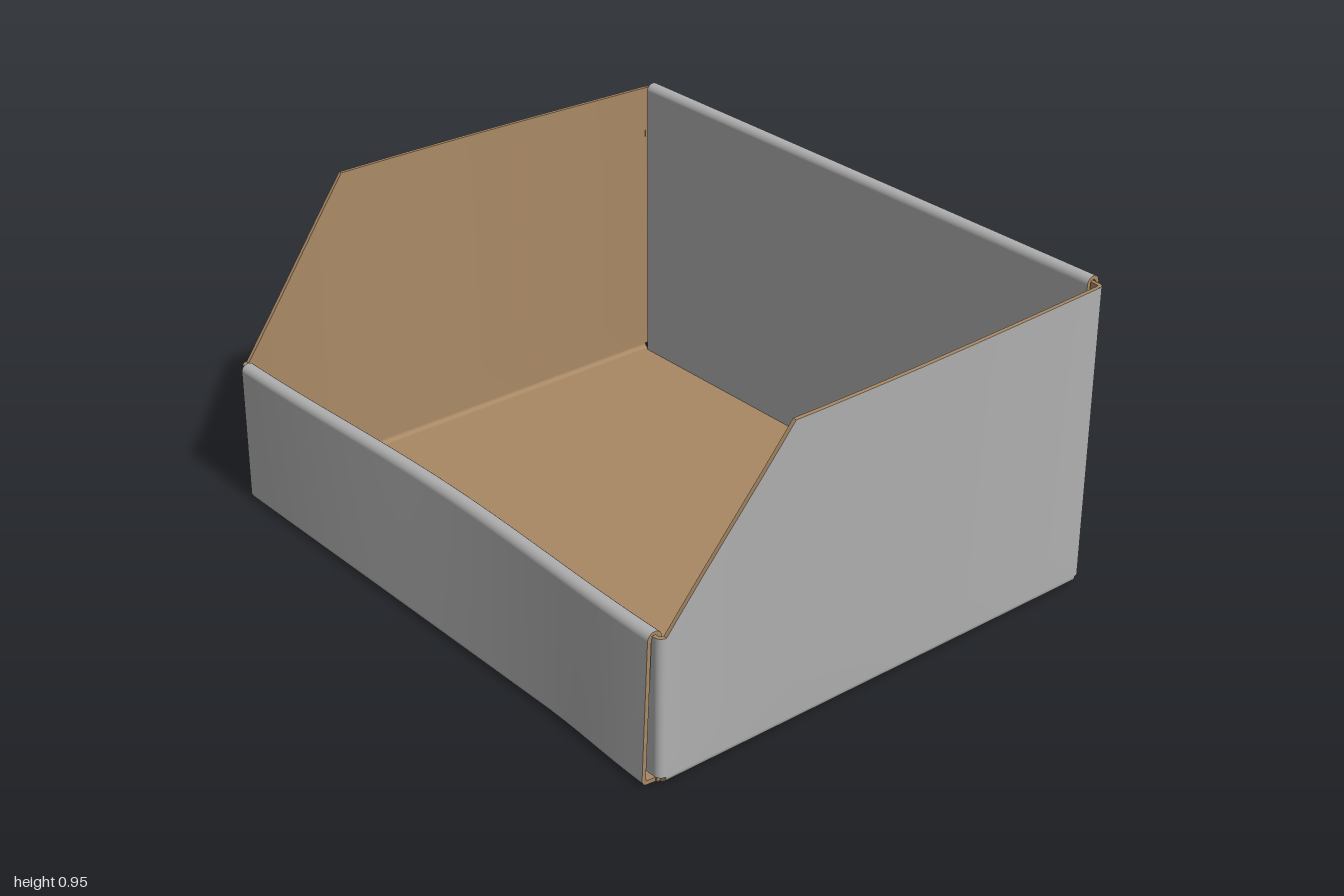
import * as THREE from 'three';

const grey = new THREE.MeshStandardMaterial({ color: 0xb0b0b0 });
grey.name = 'grey coated card';
const brown = new THREE.MeshStandardMaterial({ color: 0xa88864 });
brown.name = 'brown raw card';

const T = 0.012; // card thickness

// Sheet of card over a grid f(i, j) -> [x, y, z]: grey outer skin, brown inner skin and cut edges
function sheet(name, nu, nv, f, flip = false) {
  const outer = [], skin = [];
  for (let j = 0; j <= nv; j++)
    for (let i = 0; i <= nu; i++) outer.push(...f(flip ? nu - i : i, j));
  const id = (i, j) => j * (nu + 1) + i;
  for (let j = 0; j < nv; j++)
    for (let i = 0; i < nu; i++) {
      const a = id(i, j), b = id(i + 1, j), c = id(i + 1, j + 1), d = id(i, j + 1);
      skin.push(a, b, c, a, c, d);
    }
  const base = new THREE.BufferGeometry();
  base.setAttribute('position', new THREE.Float32BufferAttribute(outer, 3));
  base.setIndex(skin);
  base.computeVertexNormals();
  const n = base.attributes.normal.array;
  const inner = outer.map((v, k) => v - n[k] * T);

  const pos = [...outer, ...inner];
  const count = outer.length / 3;
  const index = [...skin];
  for (let k = 0; k < skin.length; k += 3)
    index.push(skin[k] + count, skin[k + 2] + count, skin[k + 1] + count);

  // cut edges around the perimeter
  const loop = [];
  for (let i = 0; i < nu; i++) loop.push(id(i, 0));
  for (let j = 0; j < nv; j++) loop.push(id(nu, j));
  for (let i = nu; i > 0; i--) loop.push(id(i, nv));
  for (let j = nv; j > 0; j--) loop.push(id(0, j));
  loop.forEach((p, k) => {
    const q = loop[(k + 1) % loop.length], s = pos.length / 3;
    const at = (arr, m) => arr.slice(m * 3, m * 3 + 3);
    pos.push(...at(outer, p), ...at(inner, p), ...at(inner, q), ...at(outer, q));
    index.push(s, s + 1, s + 2, s, s + 2, s + 3);
  });

  const geo = new THREE.BufferGeometry();
  geo.setAttribute('position', new THREE.Float32BufferAttribute(pos, 3));
  geo.setIndex(index);
  geo.computeVertexNormals();
  geo.addGroup(0, skin.length, 0);
  geo.addGroup(skin.length, index.length - skin.length, 1);
  const mesh = new THREE.Mesh(geo, [grey, brown]);
  mesh.name = name;
  return mesh;
}

// Polyline with its right-angled corners rounded to radius r
function rounded(pts, r) {
  const out = [pts[0]];
  for (let k = 1; k < pts.length - 1; k++) {
    const p = new THREE.Vector2(...pts[k]);
    const a = new THREE.Vector2(...pts[k - 1]).sub(p).setLength(r);
    const b = new THREE.Vector2(...pts[k + 1]).sub(p).setLength(r);
    for (let s = 0; s <= 6; s++) {
      const t = (s / 6) * Math.PI / 2;
      const q = p.clone().addScaledVector(a, 1 - Math.sin(t)).addScaledVector(b, 1 - Math.cos(t));
      out.push([q.x, q.y]);
    }
  }
  out.push(pts[pts.length - 1]);
  return out;
}

// Side wall: height along z, and outward bow at the top
const Z0 = -0.765, ZK = 0.365, Z1 = 0.745;
const sideHeight = z => (z <= ZK ? 0.93 : 0.93 - 0.49 * (z - ZK) / (Z1 - ZK));
const sideBow = z => 0.035 * (z < 0.32
  ? Math.sin(Math.PI / 2 * (z - Z0) / (0.32 - Z0))
  : Math.cos(Math.PI / 2 * (z - 0.32) / (Z1 - 0.32)));

function sideWall(s) {
  const arc = rounded([[0.939, 0], [0.965, 0], [0.965, 0.05]], 0.025).slice(0, -1);
  const last = arc.length - 1, rise = 8, before = 18, after = 8;
  return sheet(s > 0 ? 'leftWall' : 'rightWall', before + after, last + rise, (i, j) => {
    const z = i <= before
      ? Z0 + (ZK - Z0) * i / before
      : ZK + (Z1 - ZK) * (i - before) / after;
    let [x, y] = arc[Math.min(j, last)];
    if (j > last) y += (sideHeight(z) - y) * (j - last) / rise;
    return [s * (x + sideBow(z) * y / 0.93), y, z];
  }, s > 0);
}

// Corner flap folded from a side wall into the front or back wall
function cornerFlap(s, end) {
  const front = end > 0;
  const path = front
    ? rounded([[0.965, Z1], [0.965, 0.767], [0.85, 0.767]], 0.021)
    : rounded([[0.965, Z0], [0.965, -0.787], [0.7, -0.787]], 0.021);
  const name = (front ? 'front' : 'back') + (s > 0 ? 'Left' : 'Right') + 'Flap';
  const top = front ? 0.44 : 0.93;
  return sheet(name, path.length - 1, 1, (i, j) =>
    [s * path[i][0], j ? top : 0.025, path[i][1]], s * end > 0);
}

export function createModel() {
  const box = new THREE.Group();
  box.name = 'openFrontBox';

  box.add(sheet('floor', 1, 1, (i, j) => [i ? 0.94 : -0.94, 0, j ? 0.755 : -0.775]));

  // back wall, folded over double
  const back = rounded([[-0.775, 0], [-0.8, 0], [-0.8, 0.95], [-0.755, 0.95], [-0.755, T]], 0.022);
  box.add(sheet('backWall', 1, back.length - 1, (i, j) =>
    [i ? 0.93 : -0.93, back[j][1], back[j][0]], true));

  // low front wall, folded over double, sagging inward at the middle of its rim
  const front = rounded([[0.755, 0], [0.78, 0], [0.78, 0.45], [0.735, 0.45], [0.735, T]], 0.022);
  const N = 32;
  box.add(sheet('frontWall', N, front.length - 1, (i, j) => {
    const x = -0.935 + 1.87 * i / N;
    const [z, y] = front[j];
    const sag = 0.028 * Math.cos(Math.PI * x / 1.87) ** 2 * y / 0.45;
    const flare = z > 0.765 ? 0.02 * THREE.MathUtils.smoothstep(x, 0.5, 0.95) * (1 - y / 0.45) : 0;
    return [x, y, z - sag + flare];
  }));

  for (const s of [-1, 1]) {
    box.add(sideWall(s));
    for (const end of [-1, 1]) box.add(cornerFlap(s, end));
  }
  return box;
}
